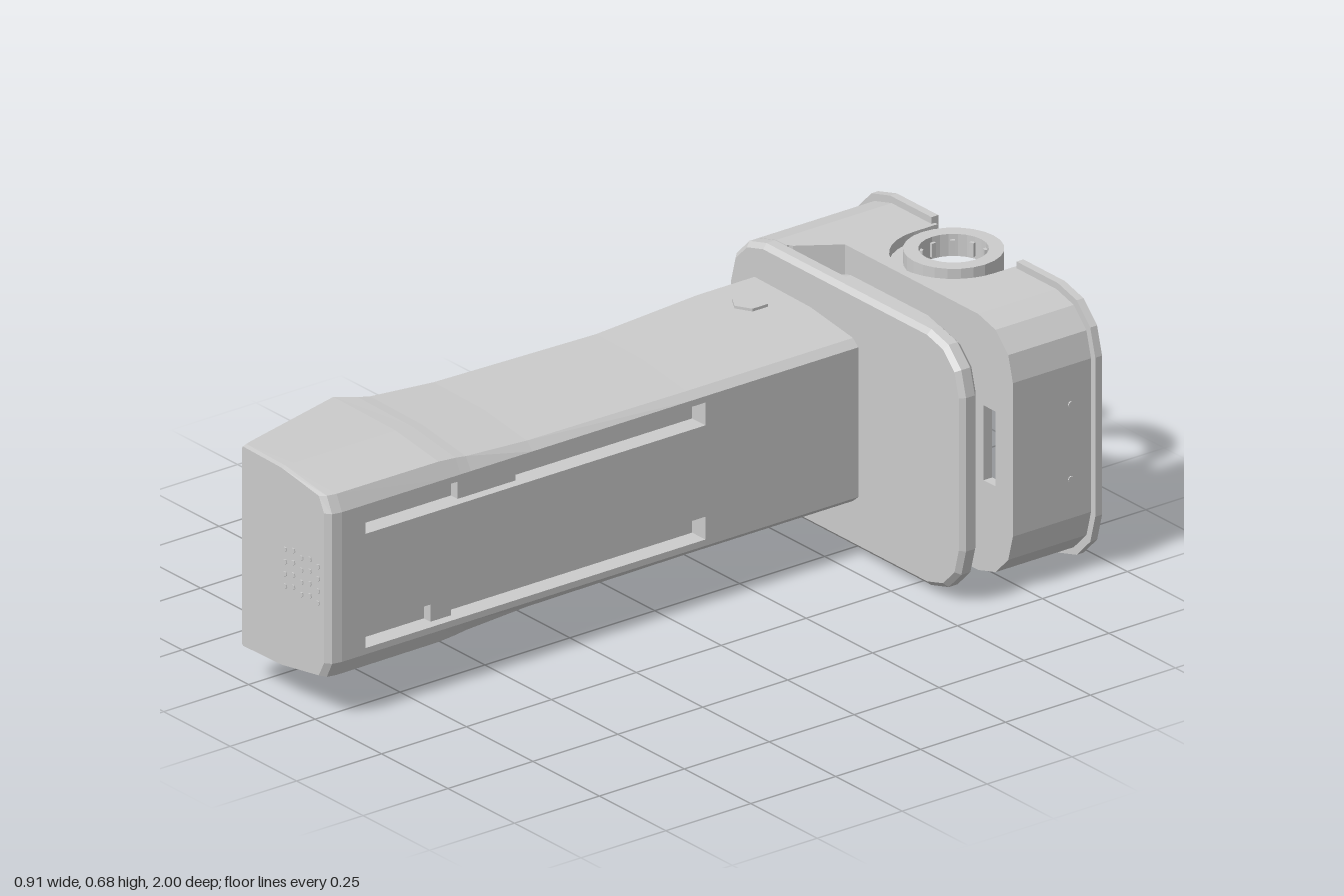
import * as THREE from 'three';

const CY = 0.345; // mid height
const mat = new THREE.MeshStandardMaterial({ color: 0xcccccc, flatShading: true, side: THREE.DoubleSide });

export function createModel() {
  const model = new THREE.Group();
  const add = (name, geo) => {
    const m = new THREE.Mesh(geo, mat);
    m.name = name;
    model.add(m);
    return m;
  };
  const poly = (pts) => new THREE.Shape(pts.map(([x, y]) => new THREE.Vector2(x, y)));
  const extrude = (shape, depth, bevel = 0, segs = 3) => new THREE.ExtrudeGeometry(shape, {
    depth, curveSegments: segs, bevelEnabled: bevel > 0, bevelSize: bevel, bevelThickness: bevel, bevelOffset: -bevel, bevelSegments: 1,
  });
  // extrusions along each axis, between two coordinates
  const alongZ = (s, z0, z1) => extrude(s, z1 - z0).translate(0, CY, z0);
  const alongY = (s, y0, y1, segs = 16) => extrude(s, y1 - y0, 0, segs).rotateX(Math.PI / 2).translate(0, y1, 0);
  const alongX = (s, x0, x1) => extrude(s, x1 - x0).rotateY(-Math.PI / 2).translate(x1, CY, 0);
  const box = (name, x0, x1, y0, y1, z0, z1) => add(name,
    new THREE.BoxGeometry(x1 - x0, y1 - y0, z1 - z0).translate((x0 + x1) / 2, (y0 + y1) / 2, (z0 + z1) / 2));
  const rect = (x0, x1, y0, y1) => [[x0, y0], [x1, y0], [x1, y1], [x0, y1]];

  const arcPts = (cx, cy, r, a0, a1, n = 3) => Array.from({ length: n + 1 }, (_, i) => {
    const a = a0 + (a1 - a0) * i / n;
    return [cx + r * Math.cos(a), cy + r * Math.sin(a)];
  });
  const roundRect = (x0, x1, b, r) => [
    ...arcPts(x1 - r, b - r, r, 0, Math.PI / 2), ...arcPts(x0 + r, b - r, r, Math.PI / 2, Math.PI),
    ...arcPts(x0 + r, r - b, r, Math.PI, Math.PI * 1.5), ...arcPts(x1 - r, r - b, r, Math.PI * 1.5, Math.PI * 2)];

  // handle: cross-sections [z, left x, half height, left chamfer, right x, recessed face x]
  const sections = [
    [-0.57, -0.39, 0.232, 0.05, 0.05, 0], [-0.39, -0.39, 0.232, 0.05, 0.05, 0],
    [-0.07, -0.34, 0.232, 0.03, 0.05, 0], [0.4, -0.34, 0.236, 0.02, 0.05, 0],
    [0.58, -0.34, 0.246, 0.01, 0.05, 0], [0.61, -0.345, 0.25, 0.008, 0.05, 0], [0.66, -0.37, 0.254, 0.004, 0.05, 0],
    [0.96, -0.29, 0.255, 0.004, 0.05, 0], [0.96, -0.29, 0.255, 0.004, 0.05, 0.05],
    [0.985, -0.282, 0.255, 0.004, 0.045, 0.045], [0.997, -0.279, 0.253, 0.004, 0.03, 0.03]];
  const rings = sections.map(([z, xl, h, c, xr, xf]) => {
    const half = [[xl, h - c * 1.2], [xl + c, h], [-0.13, h - 0.003], [xr - 0.02, h - 0.025], [xr, 0.19], [xf, 0.19]];
    return [...half, ...half.map(([x, y]) => [x, -y]).reverse()].map(([x, y]) => [x, CY + y, z]);
  });
  const n = rings[0].length;
  const index = [];
  for (let s = 0; s < rings.length - 1; s++) {
    for (let i = 0; i < n; i++) {
      const a = s * n + i, b = s * n + (i + 1) % n;
      index.push(a, a + n, b, b, a + n, b + n);
    }
  }
  const endRing = (rings.length - 1) * n;
  for (let i = 0; i < n / 2 - 1; i++) { // front end cap
    const a = endRing + i, b = a + 1, c = endRing + n - 1 - i, d = c - 1;
    index.push(a, c, b, b, c, d);
  }
  const handle = new THREE.BufferGeometry();
  handle.setAttribute('position', new THREE.Float32BufferAttribute(rings.flat(2), 3));
  handle.setIndex(index);
  handle.computeVertexNormals();
  add('handle', handle);

  // side plate of the handle with two long channels
  const plate = poly(rect(-0.57, 0.96, -0.19, 0.19));
  for (const s of [-1, 1]) {
    plate.holes.push(poly(rect(-0.11, 0.89, s * 0.145 - 0.029, s * 0.145 + 0.029)));
    const y = CY + s * 0.145;
    box('channelInsert', 0, 0.025, y - 0.029, y + 0.029, s > 0 ? 0.43 : 0.62, s > 0 ? 0.6 : 0.68);
  }
  add('handleSidePlate', alongX(plate, 0.0, 0.05));

  // speaker dots on the front end
  for (let i = 0; i < 5; i++) {
    for (let j = 0; j < 4; j++) {
      add('speakerDot', new THREE.CylinderGeometry(0.007, 0.007, 0.004, 5).rotateX(Math.PI / 2)
        .translate(-0.115 + i * 0.031, 0.3 + j * 0.031 + (i % 2) * 0.008, 0.998));
    }
  }
  add('hexCap', new THREE.CylinderGeometry(0.045, 0.045, 0.012, 6).translate(-0.23, 0.576, -0.46));

  // head front plate
  const front = extrude(poly(roundRect(-0.44, 0.44, 0.325, 0.13)), 0.026, 0.012);
  add('frontPlate', front.translate(0, CY, -0.598));

  // spacer layer: solid left end with slanted edge, and hollow core
  const leftEnd = [...arcPts(-0.31, 0.195, 0.13, Math.PI / 2, Math.PI), ...arcPts(-0.31, -0.195, 0.13, Math.PI, Math.PI * 1.5),
    [-0.27, -0.325], [-0.27, 0.325]];
  const endShape = poly(leftEnd);
  endShape.holes.push(poly(rect(-0.4, -0.3, -0.18, 0.18)));
  add('spacerEnd', alongZ(endShape, -0.72, -0.6));
  for (const y of [0.02, 0.58]) {
    add('spacerSlant', alongY(poly([[-0.28, -0.72], [-0.185, -0.72], [-0.26, -0.61], [-0.28, -0.6]]), y, y + 0.09));
  }
  const core = poly(roundRect(-0.3, 0.25, 0.255, 0.13));
  core.holes.push(poly(roundRect(-0.275, 0.225, 0.23, 0.115)));
  add('coreWall', alongZ(core, -0.72, -0.6));

  // inner wall of the rear shell
  const bulkhead = poly(roundRect(-0.435, 0.435, 0.32, 0.125));
  bulkhead.holes.push(poly(roundRect(-0.275, 0.225, 0.23, 0.115)), poly(rect(0.33, 0.375, -0.09, 0.1)));
  add('bulkhead', alongZ(bulkhead, -0.735, -0.71));

  // rear shell and rim, each from four corners and two sides
  const corner = (name, sx, sy, a, b, r, t, z0, z1) => {
    const pts = [[0.16, b], ...arcPts(a - r, b - r, r, Math.PI / 2, 0),
      ...arcPts(a - r, b - r, r - t, 0, Math.PI / 2), [0.16, b - t]];
    add(name, alongZ(poly(pts.map(([x, y]) => [x * sx, y * sy])), z0, z1));
  };
  for (const sx of [-1, 1]) {
    for (const sy of [-1, 1]) {
      corner('shellCorner', sx, sy, 0.44, 0.325, 0.13, 0.025, -0.95, -0.71);
      corner('rimCorner', sx, sy, 0.456, 0.342, 0.14, 0.035, -0.96, -0.94);
    }
    const side = poly(rect(-0.95, -0.71, -0.195, 0.195));
    if (sx < 0) side.holes.push(poly(rect(-0.85, -0.81, -0.09, 0.09)));
    add('shellSide', alongX(side, sx > 0 ? 0.415 : -0.44, sx > 0 ? 0.44 : -0.415));
    const rim = sx * 0.4385;
    box('rimSide', rim - 0.0175, rim + 0.0175, CY - 0.202, CY + 0.202, -0.96, -0.94);
    for (const y of [0.25, 0.44]) {
      add('sideScrew', new THREE.CylinderGeometry(0.008, 0.008, 0.06, 8).rotateZ(Math.PI / 2).translate(sx * 0.413, y, -0.88));
    }
  }

  // top and bottom: notched panel, ring and its shelf
  const ZR = -0.88;
  const notched = poly([[-0.16, -0.71], [0.16, -0.71], [0.16, -0.95], [0.15, -0.95],
    ...arcPts(0, ZR, 0.15, 0, Math.PI, 16), [-0.15, -0.95], [-0.16, -0.95]]);
  const shelf = poly([...arcPts(0, ZR, 0.158, 0, Math.PI, 16), ...arcPts(0, ZR, 0.11, Math.PI, 0, 16)]);
  const ring = poly(arcPts(0, ZR, 0.118, 0, Math.PI * 2, 24).slice(0, -1));
  ring.holes.push(poly(arcPts(0, ZR, 0.082, 0, Math.PI * 2, 24).slice(0, -1)));
  for (const s of [-1, 1]) {
    const put = (name, shape, y0, y1) => add(name,
      alongY(shape, s > 0 ? CY + y0 : CY - y1, s > 0 ? CY + y1 : CY - y0));
    put('notchedPanel', notched, 0.3, 0.325);
    put('ringShelf', shelf, 0.28, 0.3);
    put('mountRing', ring, 0.28, 0.336);
    for (let i = 0; i < 10; i++) { // small teeth inside the ring
      const a = i * Math.PI / 5;
      add('ringTooth', new THREE.BoxGeometry(0.012, 0.035, 0.012).rotateY(-a)
        .translate(0.08 * Math.cos(a), CY + s * 0.305, ZR + 0.08 * Math.sin(a)));
    }
  }

  // four grooved rollers on axles inside the corners
  const profile = [[0.012, -0.045], [0.034, -0.045], [0.045, -0.036], [0.045, -0.014], [0.028, -0.006],
    [0.028, 0.006], [0.045, 0.014], [0.045, 0.036], [0.034, 0.045], [0.012, 0.045]].map(([r, y]) => new THREE.Vector2(r, y));
  for (const sx of [-1, 1]) {
    for (const sy of [-1, 1]) {
      const x = sx * 0.31, y = CY + sy * 0.225;
      add('roller', new THREE.LatheGeometry(profile, 16).rotateZ(Math.PI / 2).translate(x, y, -0.955));
      add('rollerAxle', new THREE.CylinderGeometry(0.014, 0.014, 0.13, 10).rotateZ(Math.PI / 2).translate(x, y, -0.955));
      for (const d of [-0.056, 0.056]) {
        box('rollerBracket', x + d - 0.007, x + d + 0.007, y - 0.022, y + 0.022, -0.97, -0.73);
      }
      add('screwPost', new THREE.CylinderGeometry(0.013, 0.013, 0.08, 8).rotateX(Math.PI / 2)
        .translate(sx * 0.19, CY + sy * 0.26, -0.765));
    }
  }
  return model;
}
